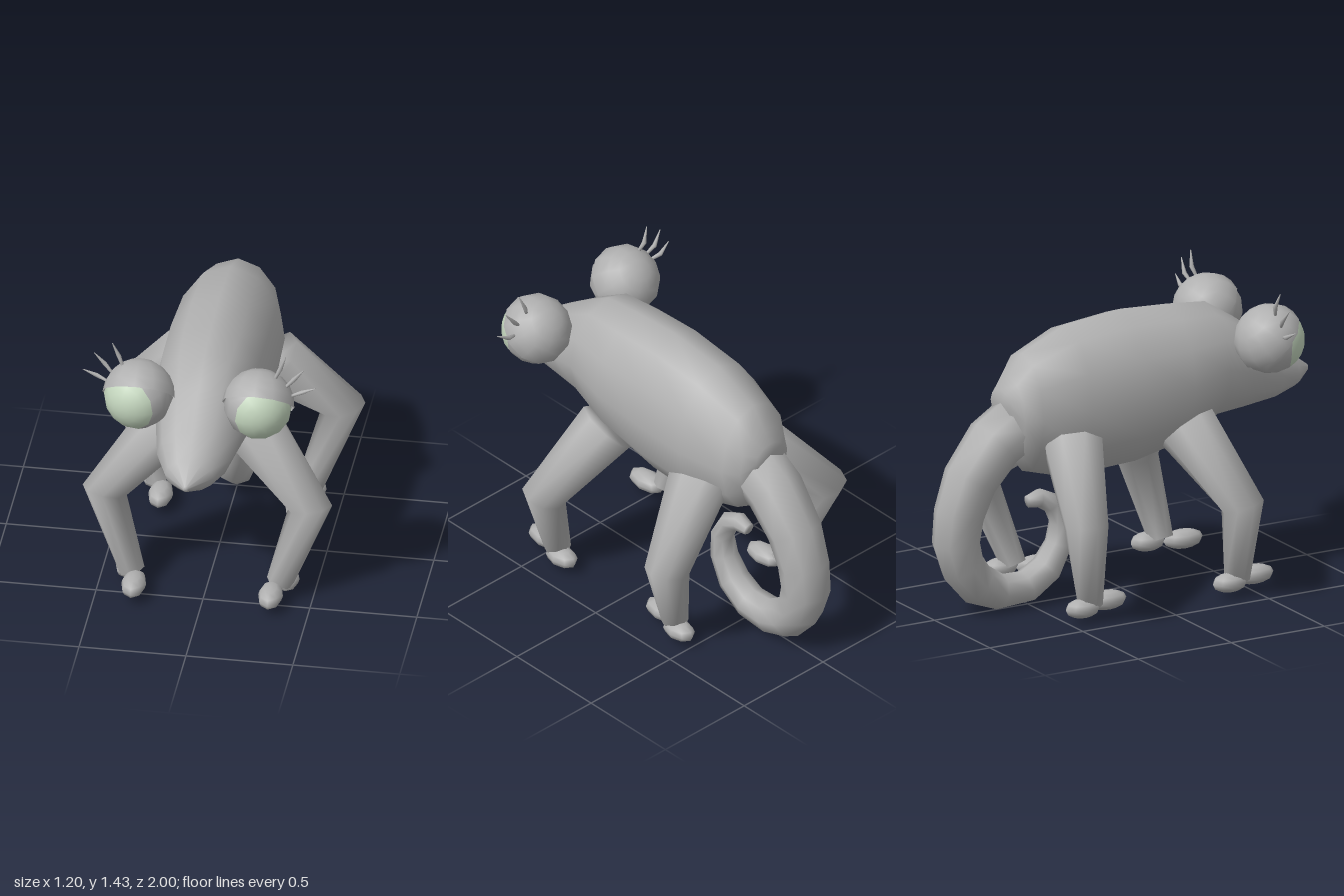
import * as THREE from 'three';

const V = (x, y, z) => new THREE.Vector3(x, y, z);

// Closed skin over a list of rings, each running counter-clockwise about the direction of travel
function loft(rings) {
  const n = rings[0].length, last = (rings.length - 1) * n;
  const middle = r => r.reduce((sum, p) => sum.add(p), V(0, 0, 0)).divideScalar(n);
  const points = [...rings.flat(), middle(rings[0]), middle(rings[rings.length - 1])];
  const index = [];
  for (let j = 0; j < n; j++) {
    const k = (j + 1) % n;
    for (let i = 0; i < last; i += n) index.push(i + j, i + k, i + n + k, i + j, i + n + k, i + n + j);
    index.push(last + n, k, j, last + n + 1, last + j, last + k);
  }
  const g = new THREE.BufferGeometry().setFromPoints(points);
  g.setIndex(index);
  g.computeVertexNormals();
  return g;
}

// Tapered tube through [x, y, z, radius] stations
function taperedTube(stations, sides, ref) {
  const pts = stations.map(s => V(s[0], s[1], s[2]));
  return loft(pts.map((p, i) => {
    const into = p.clone().sub(pts[Math.max(i - 1, 0)]).normalize();
    const out = pts[Math.min(i + 1, pts.length - 1)].clone().sub(p).normalize();
    const t = into.add(out).normalize();
    const a = ref.clone().cross(t).normalize(), b = t.clone().cross(a);
    return Array.from({ length: sides }, (_, j) => {
      const w = j / sides * Math.PI * 2, r = stations[i][3];
      return p.clone().addScaledVector(a, Math.cos(w) * r).addScaledVector(b, Math.sin(w) * r);
    });
  }));
}

export function createModel() {
  const model = new THREE.Group();
  const skin = new THREE.MeshStandardMaterial({ color: 0xb0b0b0, side: THREE.DoubleSide });
  skin.name = 'grey skin';
  const iris = new THREE.MeshStandardMaterial({ color: 0xc4d6be });
  iris.name = 'pale green';
  const add = (parent, name, geometry, material = skin) => {
    const m = new THREE.Mesh(geometry, material);
    m.name = name;
    parent.add(m);
    return m;
  };

  // Body and head: z, top, bottom, half width
  const sections = [
    [-0.645, 1.07, 0.93, 0.09], [-0.6, 1.13, 0.75, 0.15], [-0.53, 1.23, 0.66, 0.2],
    [-0.3, 1.33, 0.595, 0.255], [0, 1.36, 0.61, 0.265], [0.25, 1.345, 0.67, 0.262],
    [0.45, 1.325, 0.775, 0.238], [0.6, 1.23, 0.79, 0.205], [0.78, 1.1, 0.815, 0.17],
    [0.9, 1.01, 0.85, 0.115], [1, 0.935, 0.905, 0.012],
  ];
  add(model, 'body', loft(sections.map(([z, top, bottom, w]) =>
    Array.from({ length: 12 }, (_, j) => {
      const a = j / 12 * Math.PI * 2;
      return V(w * Math.cos(a), (top + bottom) / 2 + (top - bottom) / 2 * Math.sin(a), z);
    }))));

  // Curled tail: y, z, radius
  const tail = [
    [0.9, -0.55, 0.14], [0.82, -0.68, 0.14], [0.66, -0.81, 0.13], [0.5, -0.87, 0.12],
    [0.37, -0.885, 0.115], [0.25, -0.85, 0.108], [0.15, -0.77, 0.1], [0.095, -0.65, 0.085],
    [0.1, -0.51, 0.08], [0.17, -0.4, 0.075], [0.28, -0.335, 0.065], [0.39, -0.325, 0.055],
    [0.48, -0.37, 0.05], [0.515, -0.44, 0.045], [0.505, -0.5, 0.03],
  ];
  add(model, 'tail', taperedTube(tail.map(([y, z, r]) => [0, y, z, r]), 8, V(1, 0, 0)));

  // Legs with one toe pad forward and one backward
  const legs = [
    { name: 'front', hip: 0.24, knee: [0.48, 0.48, 0.37], ankle: 0.42 },
    { name: 'rear', hip: -0.37, knee: [0.5, 0.51, -0.48], ankle: -0.37 },
  ];
  for (const s of [1, -1]) {
    const side = s > 0 ? 'Left' : 'Right';
    for (const { name, hip, knee, ankle } of legs) {
      const leg = new THREE.Group();
      leg.name = name + side + 'Leg';
      model.add(leg);
      add(leg, 'limb', taperedTube([
        [s * 0.2, 0.8, hip, 0.145],
        [s * knee[0], knee[1], knee[2], 0.105],
        [s * 0.345, 0.09, ankle, 0.062],
      ], 8, V(0, 0, 1)));
      const frontToe = add(leg, 'frontToe', new THREE.SphereGeometry(1, 8, 6));
      frontToe.scale.set(0.058, 0.046, 0.105);
      frontToe.position.set(s * 0.32, 0.08, ankle + 0.105);
      const backToe = add(leg, 'backToe', new THREE.SphereGeometry(1, 8, 6));
      backToe.scale.set(0.058, 0.046, 0.09);
      backToe.position.set(s * 0.372, 0.078, ankle - 0.055);
    }

    // Bulging eye: iris cap, ball and tilted upper lid
    const eye = new THREE.Group();
    eye.name = 'eye' + side;
    eye.position.set(s * 0.28, 1.185, 0.637);
    model.add(eye);
    const split = 1.0;
    const gaze = new THREE.Quaternion().setFromUnitVectors(V(0, 1, 0), V(s * 0.4, -0.03, 0.9).normalize());
    add(eye, 'iris', new THREE.SphereGeometry(0.16, 12, 4, 0, Math.PI * 2, 0, split), iris).quaternion.copy(gaze);
    add(eye, 'eyeball', new THREE.SphereGeometry(0.16, 12, 6, 0, Math.PI * 2, split, Math.PI - split)).quaternion.copy(gaze);
    add(eye, 'eyelid', new THREE.SphereGeometry(0.169, 12, 5, 0, Math.PI * 2, 0, Math.PI / 2))
      .quaternion.setFromUnitVectors(V(0, 1, 0), V(0, 0.72, -0.69).normalize());

    // Eyelashes: root x, y then tip x, y
    for (const [x0, y0, x1, y1] of [
      [0.355, 1.32, 0.405, 1.44], [0.405, 1.28, 0.49, 1.38], [0.43, 1.235, 0.543, 1.285],
    ]) {
      add(model, 'eyelash' + side, taperedTube([
        [s * x0, y0, 0.62, 0.007],
        [s * (x0 * 0.55 + x1 * 0.45), y0 * 0.55 + y1 * 0.45 - 0.006, 0.605, 0.011],
        [s * x1, y1, 0.617, 0.002],
      ], 6, V(0, 0, 1)));
    }
  }
  return model;
}
